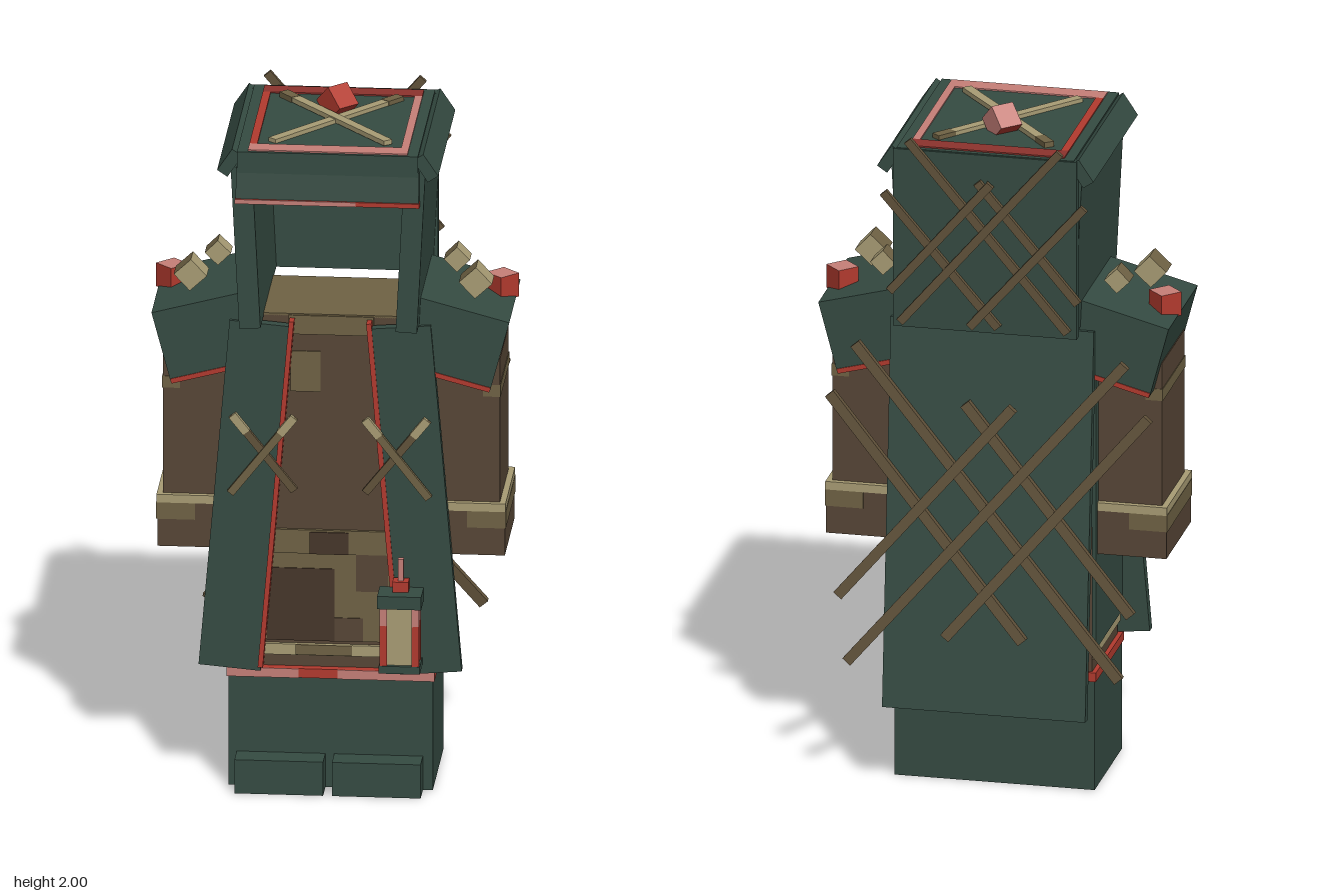
import * as THREE from 'three';

const flat = (name, color) => {
  const m = new THREE.MeshStandardMaterial({ color });
  m.name = name;
  return m;
};

export function createModel() {
  const root = new THREE.Group();
  root.name = 'hoodedCloakFigure';

  const green = flat('cloakGreen', 0x354b42);
  const brown = flat('clothBrown', 0x574636);
  const darkBrown = flat('darkBrown', 0x463629);
  const olive = flat('oliveCloth', 0x6f6244);
  const wood = flat('stickWood', 0x61523a);
  const tan = flat('paleTan', 0xa89c74);
  const red = flat('trimRed', 0xb23a2e);
  const darkRed = flat('deepRed', 0x8c332d);
  const pink = flat('trimPink', 0xc67f78);

  // Box by centre, with optional tilt around z and parent
  const box = (name, mat, w, h, d, x, y, z, rz = 0, parent = root) => {
    const m = new THREE.Mesh(new THREE.BoxGeometry(w, h, d), mat);
    m.name = name;
    m.position.set(x, y, z);
    m.rotation.z = rz;
    parent.add(m);
    return m;
  };
  // Box by its minimum and maximum corners
  const span = (name, mat, x0, x1, y0, y1, z0, z1, parent = root) =>
    box(name, mat, x1 - x0, y1 - y0, z1 - z0, (x0 + x1) / 2, (y0 + y1) / 2, (z0 + z1) / 2, 0, parent);
  // Stick between two points in the xy plane
  const stick = (name, mat, x0, y0, x1, y1, z, t, parent = root, depth = t) =>
    box(name, mat, t, Math.hypot(x1 - x0, y1 - y0), depth, (x0 + x1) / 2, (y0 + y1) / 2, z,
      Math.atan2(x0 - x1, y1 - y0), parent);

  // Robe skirt, feet and hem
  span('lowerRobe', green, -0.288, 0.288, 0, 0.33, -0.155, 0.19);
  span('rightFoot', green, -0.265, -0.015, 0, 0.1, 0.18, 0.265);
  span('leftFoot', green, 0.01, 0.26, 0, 0.1, 0.18, 0.265);
  span('hemBand', red, -0.293, 0.293, 0.325, 0.352, -0.16, 0.195);
  for (const [a, b] of [[-0.293, -0.09], [0.02, 0.293]])
    span('hemPinkStripe', pink, a, b, 0.325, 0.352, 0.194, 0.198);

  // Torso with patched cloth
  span('torso', brown, -0.28, 0.28, 0.35, 1.395, -0.15, 0.17);
  span('torsoTop', olive, -0.275, 0.275, 1.393, 1.4, -0.15, 0.17);
  span('collarPatch', olive, -0.12, 0.12, 1.34, 1.396, 0.168, 0.174);
  span('chestPatch', olive, -0.115, -0.03, 1.17, 1.29, 0.168, 0.174);
  span('belt', olive, -0.19, 0.19, 0.69, 0.76, 0.16, 0.18);
  span('beltPatch', darkBrown, -0.06, 0.05, 0.69, 0.755, 0.178, 0.184);
  span('apron', olive, -0.2, 0.2, 0.43, 0.69, 0.165, 0.175);
  span('apronPatch', darkBrown, -0.18, 0.01, 0.43, 0.645, 0.172, 0.178);
  span('apronPatch', brown, 0.01, 0.09, 0.43, 0.5, 0.172, 0.178);
  span('apronCorner', brown, 0.07, 0.16, 0.58, 0.69, 0.172, 0.178);
  span('robeTrim', tan, -0.286, 0.286, 0.388, 0.42, -0.145, 0.182);
  span('robeTrimPatch', olive, -0.1, 0.06, 0.39, 0.42, 0.18, 0.186);

  // Cloak back with lashed sticks
  const cape = new THREE.Group();
  cape.name = 'backCape';
  cape.position.set(0, 0.815, -0.225);
  cape.rotation.x = 0.097;
  root.add(cape);
  box('capePanel', green, 0.585, 1.135, 0.03, 0, 0, 0, 0, cape);

  const hoodBack = new THREE.Group();
  hoodBack.name = 'hoodBackSticks';
  root.add(hoodBack);

  for (const s of [-1, 1]) {
    const zOff = s < 0 ? 0 : -0.016;
    for (const [x0, y0, x1, y1] of [
      [-0.39, 1.3, 0.39, 0.38], [-0.07, 1.15, 0.42, 0.57], [-0.46, 1.15, 0.11, 0.47]])
      stick('capeStick', wood, s * x0, y0 - 0.815, s * x1, y1 - 0.815, -0.026 + zOff, 0.03, cape, 0.022);
    for (const [x0, y0, x1, y1] of [
      [-0.22, 1.95, 0.24, 1.41], [-0.02, 1.84, 0.27, 1.5], [-0.29, 1.79, 0.04, 1.41]])
      stick('hoodStick', wood, s * x0, y0, s * x1, y1, -0.287 + zOff * 0.6, 0.024, hoodBack, 0.014);

    // Cloak sides and flared front panels with red edging
    span('cloakSide', green, s * 0.286 - 0.006, s * 0.286 + 0.006, 0.42, 1.395, -0.155, 0.188);
    const lean = -s * -0.085;
    box('frontPanel', green, 0.175, 1.03, 0.03, s * 0.24, 0.868, 0.195, lean);
    box('frontPanelEdge', red, 0.014, 1.035, 0.036, s * 0.153, 0.874, 0.196, lean);
    stick('frontStick', wood, s * 0.1, 0.89, s * 0.275, 1.11, 0.216, 0.022, root, 0.014);
    stick('frontStick', olive, s * 0.28, 0.88, s * 0.1, 1.11, 0.224, 0.022, root, 0.014);
    stick('frontStickTip', tan, s * 0.235, 1.06, s * 0.275, 1.11, 0.217, 0.024, root, 0.016);
    stick('frontStickTip', tan, s * 0.14, 1.06, s * 0.1, 1.11, 0.225, 0.024, root, 0.016);

    // Arms and cuffs
    const ax = s * 0.355;
    box('sleeve', brown, 0.24, 0.45, 0.285, ax, 1.055, 0.022);
    box('cuff', brown, 0.27, 0.13, 0.312, ax, 0.765, 0.022);
    box('cuffTrim', tan, 0.274, 0.024, 0.318, ax, 0.842, 0.022);
    box('cuffPatch', olive, 0.11, 0.05, 0.316, s * 0.438, 0.806, 0.022);
    box('sleevePatch', olive, 0.05, 0.035, 0.289, s * 0.452, 1.185, 0.022);

    // Sloped shoulder caps
    const slope = -s * 0.26;
    box('shoulder', green, 0.27, 0.21, 0.37, s * 0.347, 1.334, 0.015, slope);
    box('shoulderTrim', red, 0.27, 0.014, 0.376, s * 0.319, 1.234, 0.015, slope);

    // Ornament blocks on the shoulders
    const gem = box('shoulderGem', [red, red, pink, red, red, red], 0.066, 0.07, 0.066, s * 0.465, 1.432, -0.037);
    gem.rotation.y = Math.PI / 4;
    const cubeMats = [tan, olive, olive, tan, tan, tan];
    box('shoulderCube', cubeMats, 0.066, 0.066, 0.07, s * 0.402, 1.487, 0.083, Math.PI / 4.2);
    box('shoulderCube', cubeMats, 0.052, 0.052, 0.058, s * 0.337, 1.503, -0.06, Math.PI / 4);

    // Hood walls and slanted eaves
    box('hoodWall', green, 0.06, 0.5, 0.535, s * 0.233, 1.64, 0.012, -s * 0.05);
    box('hoodEave', green, 0.035, 0.076, 0.565, s * 0.276, 1.885, 0.008, s * 0.59);
  }

  // Hood back, roof and brim
  span('hoodBackPanel', green, -0.265, 0.265, 1.39, 1.92, -0.28, -0.25);
  span('hoodRoof', green, -0.255, 0.255, 1.86, 1.922, -0.275, 0.3);
  const brim = span('hoodBrim', green, -0.258, 0.258, 1.782, 1.872, 0.278, 0.302);
  brim.rotation.x = -0.1;
  span('brimTrim', red, -0.26, 0.26, 1.772, 1.785, 0.284, 0.312);
  span('brimTrimPink', pink, -0.26, 0.08, 1.772, 1.785, 0.311, 0.314);

  // Roof border and crossed sticks
  span('roofBorderFront', pink, -0.225, 0.225, 1.92, 1.926, 0.235, 0.29);
  span('roofBorderBack', darkRed, -0.225, 0.225, 1.92, 1.926, -0.26, -0.205);
  span('roofBorderRight', red, -0.225, -0.203, 1.92, 1.926, -0.205, 0.235);
  span('roofBorderLeft', pink, 0.203, 0.225, 1.92, 1.926, -0.205, 0.235);
  for (const s of [-1, 1]) {
    const cross = new THREE.Group();
    cross.name = 'roofStick';
    cross.position.set(0, s < 0 ? 1.927 : 1.931, 0.015);
    cross.rotation.y = s * 0.695;
    root.add(cross);
    box('roofStickBar', tan, 0.028, 0.014, 0.51, 0, 0, 0, 0, cross);
    box('roofStickEnd', olive, 0.03, 0.016, 0.06, 0, 0, -0.226, 0, cross);
  }

  // Ridge-shaped gem on the roof
  const topGem = new THREE.Mesh(
    new THREE.BoxGeometry(0.07, 0.072, 0.072).rotateX(Math.PI / 4).rotateY(Math.PI / 4),
    [pink, red, red, red, red, pink]);
  topGem.name = 'roofGem';
  topGem.position.set(-0.003, 1.949, -0.072);
  root.add(topGem);

  // Hanging lantern
  const lantern = new THREE.Group();
  lantern.name = 'lantern';
  lantern.position.set(0.202, 0, 0.252);
  root.add(lantern);
  box('lanternBase', green, 0.116, 0.022, 0.085, 0, 0.39, 0, 0, lantern);
  box('lanternCap', green, 0.124, 0.038, 0.088, 0, 0.59, 0, 0, lantern);
  box('lanternGlass', tan, 0.07, 0.17, 0.062, 0, 0.486, 0, 0, lantern);
  for (const x of [-1, 1]) for (const z of [-1, 1]) {
    box('lanternPost', red, 0.02, 0.12, 0.02, x * 0.045, 0.46, z * 0.03, 0, lantern);
    box('lanternPostTop', pink, 0.02, 0.055, 0.02, x * 0.045, 0.546, z * 0.03, 0, lantern);
  }
  box('lanternKnob', red, 0.045, 0.03, 0.04, 0, 0.624, -0.015, 0, lantern);
  box('lanternHook', pink, 0.016, 0.07, 0.016, 0, 0.668, -0.015, 0, lantern);

  return root;
}
